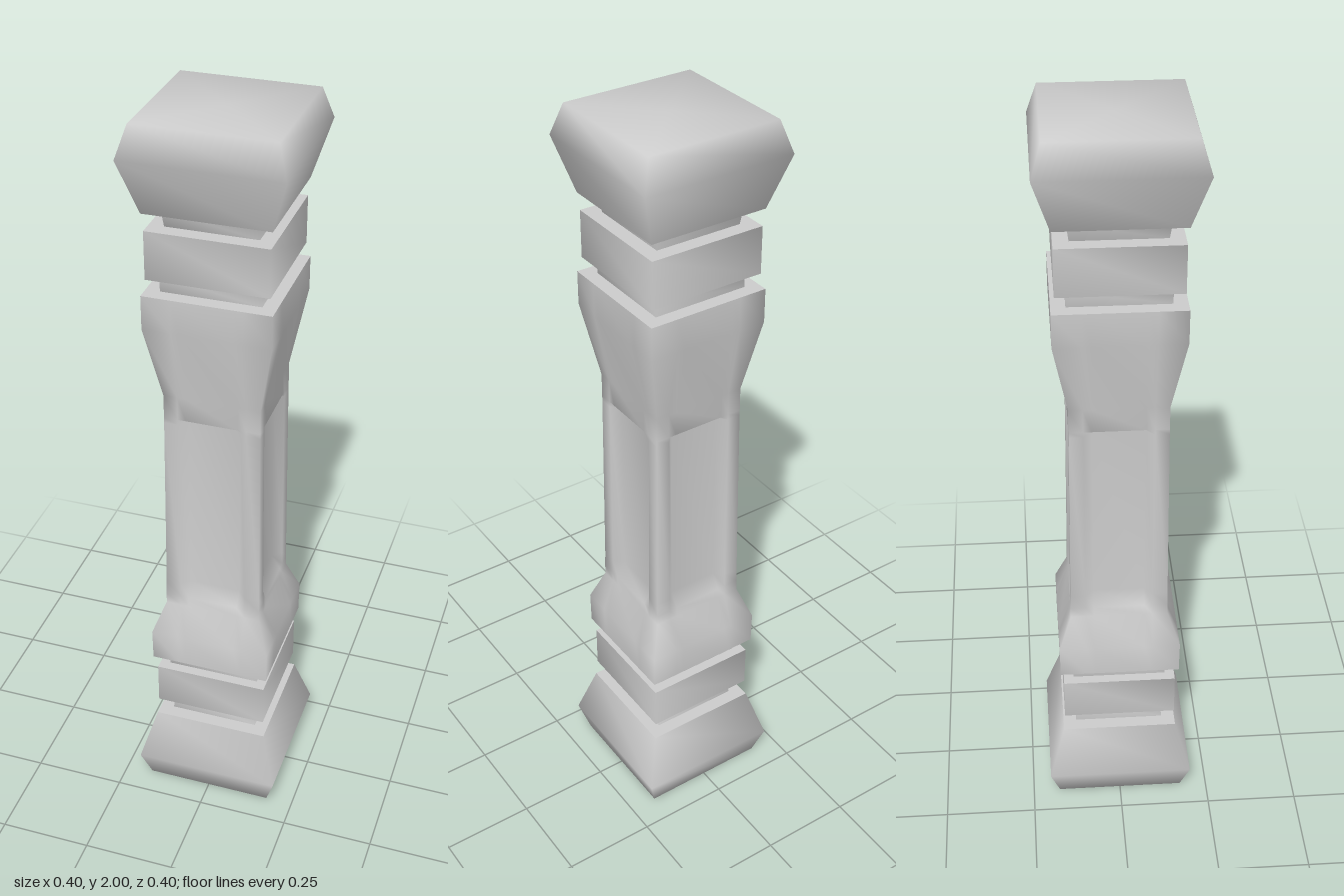
import * as THREE from 'three';

const material = new THREE.MeshStandardMaterial({ color: 0xcccccc });

// Square ring of half width h at height y; inner points may sink by depth
function ring(h, y, ts = [], depth = 0) {
  const side = [[-h, h]];
  ts.forEach((t, i) => side.push([t, h - (i === 1 || i === 2 ? depth : 0)]));
  const points = [];
  for (let k = 0; k < 4; k++) {
    for (let [x, z] of side) {
      for (let r = 0; r < k; r++) [x, z] = [z, -x];
      points.push([x, y, z]);
    }
  }
  return points;
}

function build(positions, index) {
  const g = new THREE.BufferGeometry();
  g.setAttribute('position', new THREE.Float32BufferAttribute(positions.flat(), 3));
  g.setIndex(index);
  g.computeVertexNormals();
  return g;
}

// Skin through rings; 'smooth' ends share vertices with the walls, 'sharp' ends do not
function loft(name, rings, bottom = 'none', top = 'none') {
  const n = rings[0].length, pos = rings.flat(), idx = [];
  for (let i = 0; i < rings.length - 1; i++) {
    for (let j = 0; j < n; j++) {
      const a = i * n + j, b = i * n + (j + 1) % n;
      idx.push(a, b, a + n, b, b + n, a + n);
    }
  }
  const close = (row, mode, up) => {
    if (mode === 'none') return;
    let start = row * n;
    if (mode === 'sharp') {
      start = pos.length;
      pos.push(...rings[row]);
    }
    const c = pos.length;
    pos.push([0, rings[row][0][1], 0]);
    for (let j = 0; j < n; j++) {
      const a = start + j, b = start + (j + 1) % n;
      if (up) idx.push(a, b, c); else idx.push(b, a, c);
    }
  };
  close(0, bottom, false);
  close(rings.length - 1, top, true);
  const mesh = new THREE.Mesh(build(pos, idx), material);
  mesh.name = name;
  return mesh;
}

export function createModel() {
  const group = new THREE.Group();
  group.name = 'baluster';
  const squares = (...list) => list.map(([h, y]) => ring(h, y));

  // End blocks
  group.add(loft('base', squares([0.175, 0], [0.2, 0.08], [0.158, 0.225]), 'smooth', 'sharp'));
  group.add(loft('cap', squares([0.158, 1.78], [0.2, 1.92], [0.175, 2]), 'sharp', 'smooth'));

  // Square bands
  group.add(loft('lowerBand', squares([0.154, 0.275], [0.154, 0.397]), 'sharp', 'sharp'));
  group.add(loft('upperBand', squares([0.154, 1.61], [0.154, 1.735]), 'sharp', 'sharp'));

  // Narrow necks between the blocks
  const necks = [[0.122, 0.225, 0.116, 0.275], [0.127, 0.397, 0.127, 0.44],
    [0.127, 1.57, 0.127, 1.61], [0.116, 1.735, 0.122, 1.78]];
  for (const [h0, y0, h1, y1] of necks) group.add(loft('neck', squares([h0, y0], [h1, y1])));

  // Flared shaft with a sunken panel on each side
  const panel = [-0.09, -0.068, 0.068, 0.09];
  const shaft = [[0.163, 0.44], [0.164, 0.53], [0.131, 0.62], [0.131, 0.65], [0.13, 0.69, 0.024],
    [0.126, 1.2, 0.024], [0.126, 1.215], [0.126, 1.28], [0.163, 1.48], [0.163, 1.57]]
    .map(([h, y, depth]) => ring(h, y, panel, depth));
  group.add(loft('shaft', shaft, 'sharp', 'sharp'));
  return group;
}
